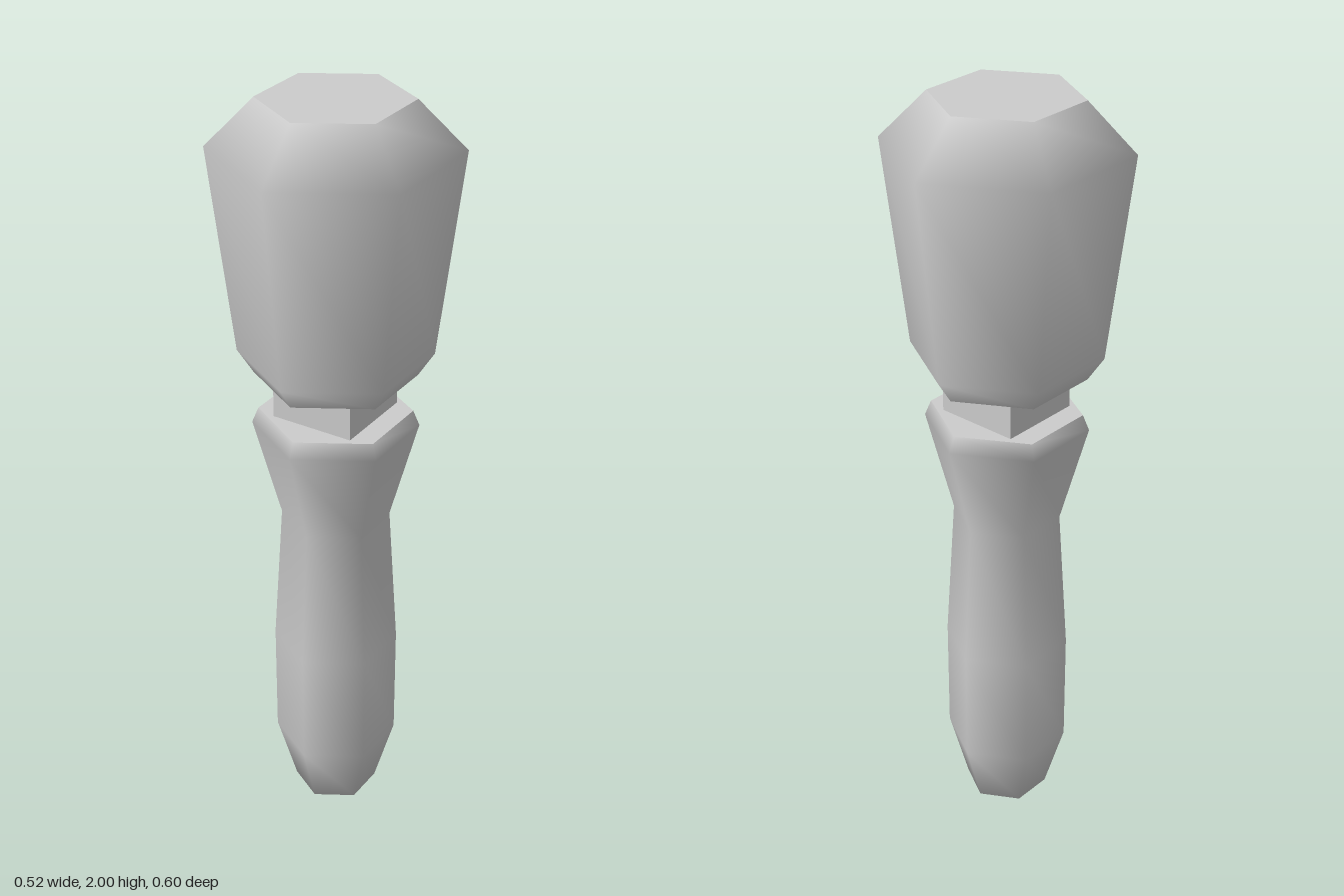
import * as THREE from 'three';

const material = new THREE.MeshStandardMaterial({ color: 0xcccccc });

// Six-sided turned surface with corners on the z axis; profile runs bottom to top
function hexLathe(name, profile) {
  const points = profile.map(([r, y]) => new THREE.Vector2(r, y));
  const mesh = new THREE.Mesh(new THREE.LatheGeometry(points, 6), material);
  mesh.name = name;
  return mesh;
}

export function createModel() {
  const model = new THREE.Group();
  model.name = 'mallet';

  // Head: smooth tapered body with crisp flat ends
  const head = new THREE.Group();
  head.name = 'head';
  head.add(
    hexLathe('headUnderside', [[0, 1.3], [0.2, 1.3]]),
    hexLathe('headBody', [[0.2, 1.3], [0.24, 1.36], [0.302, 1.88], [0.185, 2]]),
    hexLathe('headTop', [[0.185, 2], [0, 2]])
  );

  // Square neck joining head and handle
  const neck = new THREE.Mesh(new THREE.BoxGeometry(0.22, 0.2, 0.22), material);
  neck.name = 'neck';
  neck.position.y = 1.25;

  // Handle: flared collar, narrow waist, swelling grip and blunt pointed end
  const handle = new THREE.Group();
  handle.name = 'handle';
  handle.add(
    hexLathe('grip', [
      [0, 0], [0.108, 0.035], [0.159, 0.21], [0.16, 0.52],
      [0.137, 0.9], [0.207, 1.16], [0.191, 1.2]
    ]),
    hexLathe('handleTop', [[0.191, 1.2], [0, 1.2]])
  );

  model.add(head, neck, handle);
  return model;
}
